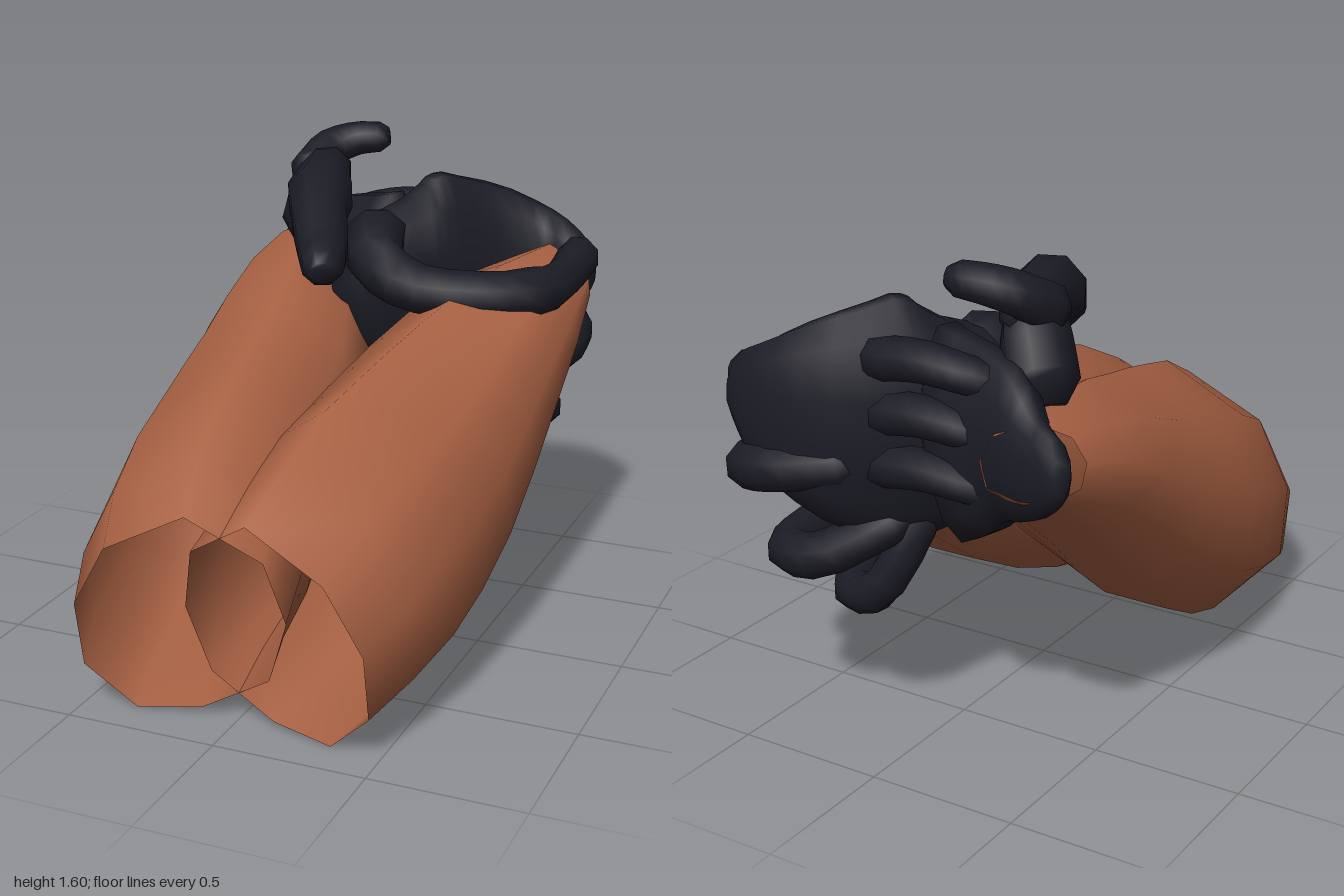
import * as THREE from 'three';

const skin = new THREE.MeshStandardMaterial({ color: 0xa86143, side: THREE.DoubleSide });
skin.name = 'brown sleeve';
const glove = new THREE.MeshStandardMaterial({ color: 0x1c1c26, side: THREE.DoubleSide });
glove.name = 'dark glove';

// Joins equal rings of points into a smooth skin, optionally closing both ends
function skinRings(rings, capped, flip) {
  const sides = rings[0].length, idx = [];
  const face = (a, b, c) => idx.push(...(flip ? [a, c, b] : [a, b, c]));
  for (let i = 0; i < rings.length - 1; i++) {
    for (let j = 0; j < sides; j++) {
      const a = i * sides + j, b = i * sides + ((j + 1) % sides);
      face(a, a + sides, b);
      face(b, a + sides, b + sides);
    }
  }
  if (capped) {
    const last = (rings.length - 1) * sides;
    for (let j = 1; j < sides - 1; j++) {
      face(0, j, j + 1);
      face(last, last + j + 1, last + j);
    }
  }
  const g = new THREE.BufferGeometry().setFromPoints(rings.flat());
  g.setIndex(idx);
  g.computeVertexNormals();
  return g;
}

// Rounded tube through sections [x, y, z, halfWidth, halfHeight]
function tube(sections, sides, steps) {
  const curve = new THREE.CatmullRomCurve3(sections.map((s) => new THREE.Vector3(s[0], s[1], s[2])));
  const radii = new THREE.CatmullRomCurve3(sections.map((s) => new THREE.Vector3(s[3], s[4] ?? s[3], 0)));
  const up = new THREE.Vector3(0, 1, 0);
  const ring = (t, scale, push) => {
    const tan = curve.getTangent(t);
    const side = tan.clone().cross(up).normalize();
    const rise = side.clone().cross(tan);
    const r = radii.getPoint(t);
    const c = curve.getPoint(t).addScaledVector(tan, push * Math.min(r.x, r.y));
    return Array.from({ length: sides }, (_, j) => {
      const a = ((j + 0.5) / sides) * Math.PI * 2;
      return c.clone()
        .addScaledVector(side, Math.cos(a) * r.x * scale)
        .addScaledVector(rise, Math.sin(a) * r.y * scale);
    });
  };
  const rings = [ring(0, 0.6, -0.6)];
  for (let i = 0; i <= steps; i++) rings.push(ring(i / steps, 1, 0));
  rings.push(ring(1, 0.6, 0.6));
  return skinRings(rings, true, false);
}

// Forearm outline: u runs from inner to outer side, v from bottom to top
const outline = [
  [1, 0.04], [0.63, 0.63], [-0.17, 1], [-0.85, 0.6], [-1, 0.01],
  [-0.78, -0.6], [-0.1, -0.94], [0.54, -1], [1, -0.58],
];
// Forearm sections: inner x, outer x, bottom y, bottom z, top y, top z
const armSections = [
  [-0.17, 0.48, 0.0, 0.83, 0.71, 0.97],
  [-0.14, 0.55, 0.045, 0.65, 0.84, 0.78],
  [-0.12, 0.595, 0.085, 0.42, 0.95, 0.55],
  [-0.08, 0.615, 0.16, 0.2, 1.0, 0.35],
  [-0.04, 0.63, 0.28, -0.03, 1.045, 0.16],
  [0.0, 0.637, 0.45, -0.25, 1.08, -0.02],
  [0.08, 0.642, 0.665, -0.5, 1.135, -0.24],
  [0.2, 0.642, 0.835, -0.7, 1.18, -0.5],
  [0.35, 0.62, 0.98, -0.9, 1.195, -0.8],
];
function forearm(s) {
  const rings = armSections.map(([xi, xo, yb, zb, yt, zt]) => outline.map(([u, v]) => new THREE.Vector3(
    s * THREE.MathUtils.lerp(xi, xo, (u + 1) / 2),
    THREE.MathUtils.lerp(yb, yt, (v + 1) / 2),
    THREE.MathUtils.lerp(zb, zt, (v + 1) / 2) + 0.07 * u,
  )));
  return skinRings(rings, false, s < 0);
}

export function createModel() {
  const model = new THREE.Group();
  model.name = 'claspedArms';

  // Open forearms, overlapping at the centre line
  for (const [name, s] of [['leftForearm', 1], ['rightForearm', -1]]) {
    const mesh = new THREE.Mesh(forearm(s), skin);
    mesh.name = name;
    model.add(mesh);
  }

  const part = (name, sections, sides = 8, steps = 8) => {
    const mesh = new THREE.Mesh(tube(sections, sides, steps), glove);
    mesh.name = name;
    model.add(mesh);
  };

  // Broad palm wrapping behind the left wrist
  part('palm', [
    [-0.1, 1.15, -0.42, 0.12, 0.2],
    [0.0, 1.08, -0.56, 0.14, 0.37],
    [0.1, 1.06, -0.68, 0.14, 0.4],
    [0.27, 1.08, -0.83, 0.11, 0.33],
    [0.45, 1.1, -0.88, 0.08, 0.22],
    [0.57, 1.12, -0.83, 0.07, 0.13],
  ], 12, 12);

  // Right wrist and back of the hand, closing the right sleeve
  part('rightWrist', [
    [-0.57, 1.08, -0.86, 0.05, 0.1],
    [-0.45, 1.06, -0.8, 0.08, 0.18],
    [-0.3, 1.07, -0.71, 0.12, 0.27],
    [-0.1, 1.04, -0.65, 0.14, 0.35],
  ], 12, 8);
  part('rightKnuckle', [
    [-0.37, 1.24, -0.62, 0.12],
    [-0.33, 1.36, -0.58, 0.11],
    [-0.29, 1.45, -0.53, 0.09],
  ]);

  // Right thumb reaching forward over the wrists
  part('rightThumb', [
    [-0.31, 1.44, -0.6, 0.09],
    [-0.25, 1.44, -0.42, 0.1],
    [-0.17, 1.38, -0.2, 0.1],
    [-0.09, 1.3, -0.05, 0.09],
    [-0.04, 1.265, 0.07, 0.07],
  ]);
  part('raisedFinger', [
    [-0.35, 1.44, -0.55, 0.085],
    [-0.33, 1.505, -0.65, 0.07],
    [-0.25, 1.54, -0.71, 0.062],
    [-0.16, 1.55, -0.73, 0.055],
  ]);

  // Left thumb looping round in front
  part('leftThumb', [
    [0.57, 1.16, -0.82, 0.075],
    [0.575, 1.13, -0.62, 0.07],
    [0.55, 1.125, -0.43, 0.08],
    [0.37, 1.125, -0.3, 0.08],
    [0.15, 1.14, -0.26, 0.085],
    [0.0, 1.2, -0.31, 0.1],
    [-0.06, 1.26, -0.45, 0.11],
  ], 8, 14);

  // Right fingers curling under the left wrist
  const wrapped = [
    [[0.2, 0.95, -0.84], [0.4, 0.92, -0.92], [0.53, 0.89, -0.88], [0.555, 0.85, -0.69]],
    [[0.1, 0.74, -0.72], [0.3, 0.62, -0.85], [0.45, 0.6, -0.81], [0.47, 0.63, -0.53]],
    [[0.05, 0.72, -0.66], [0.17, 0.48, -0.72], [0.31, 0.44, -0.67], [0.36, 0.49, -0.46]],
  ];
  wrapped.forEach((path, i) => {
    part('rightFinger' + (i + 1), path.map((p) => [...p, 0.08 - i * 0.006]));
  });

  // Left fingers folded behind the right wrist
  for (let i = 0; i < 3; i++) {
    const y = 1.28 - i * 0.17;
    part('leftFinger' + (i + 1), [
      [0.1, y, -0.78, 0.07],
      [-0.06, y + 0.02, -0.79, 0.065],
      [-0.2, y, -0.77, 0.06],
      [-0.28, y - 0.03, -0.72, 0.055],
    ]);
  }
  return model;
}
